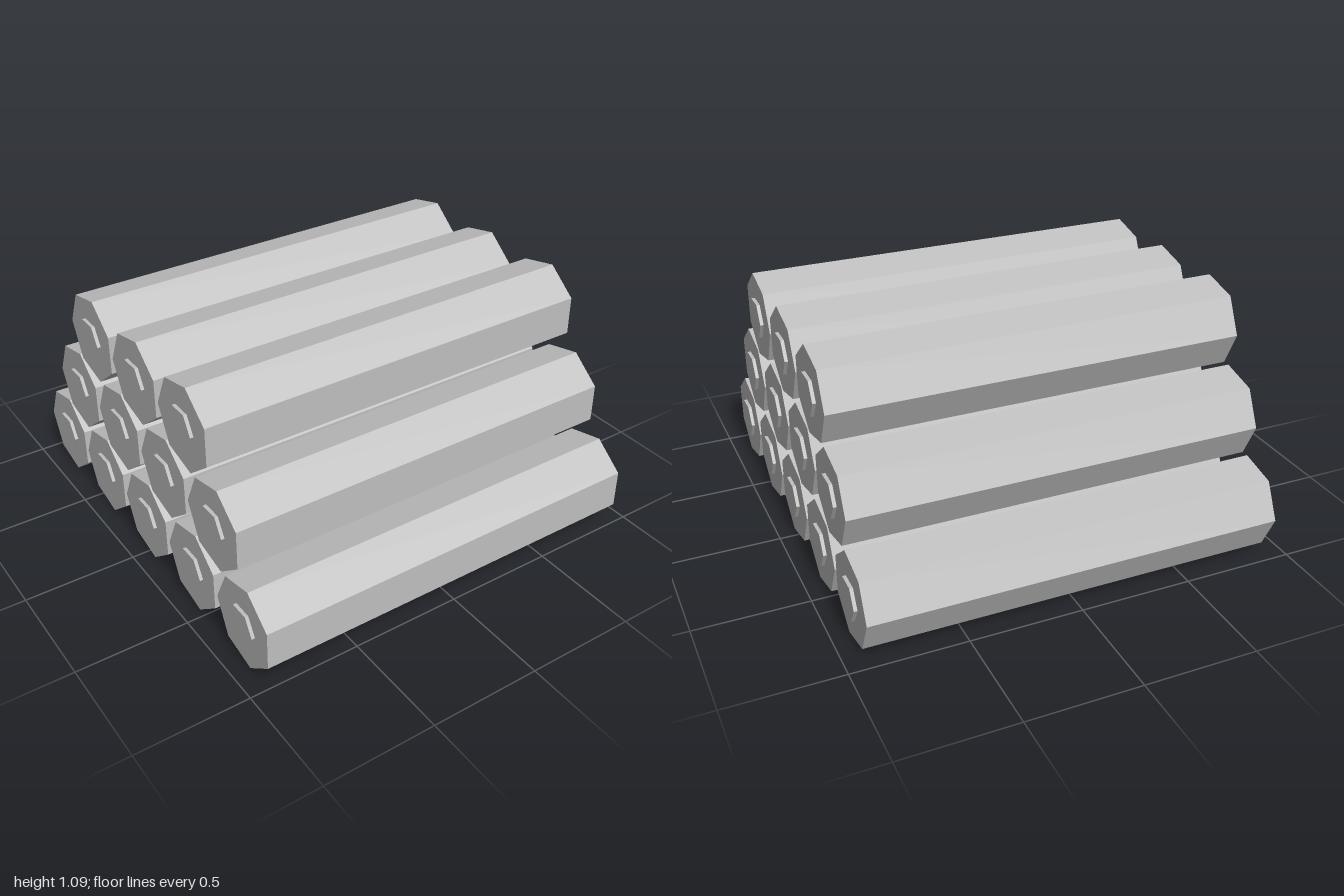
import * as THREE from 'three';

export function createModel() {
  const model = new THREE.Group();
  model.name = 'logPile';
  const grey = new THREE.MeshStandardMaterial({ color: 0xc0c0c0, flatShading: true });
  grey.name = 'pale grey';

  // Prism lying along x with one corner towards the back
  const prism = (radius, length, sides) =>
    new THREE.CylinderGeometry(radius, radius, length, sides, 1, false, Math.PI).rotateZ(-Math.PI / 2);
  const logGeometry = prism(0.2, 1.836, 7);
  const coreGeometry = prism(0.09, 0.04, 6);

  const add = (parent, geometry, name, x) => {
    const mesh = new THREE.Mesh(geometry, grey);
    mesh.name = name;
    mesh.position.x = x;
    parent.add(mesh);
  };

  // Three stacked rows of five, four and three logs
  const spacing = 0.405;
  [5, 4, 3].forEach((count, row) => {
    for (let i = 0; i < count; i++) {
      const log = new THREE.Group();
      log.name = `log${row + 1}_${i + 1}`;
      log.position.set(0, 0.195 + row * 0.35, 0.01 + (i - (count - 1) / 2) * spacing);
      add(log, logGeometry, 'trunk', 0);
      // Raised hexagonal core on each end
      add(log, coreGeometry, 'leftCore', 0.913);
      add(log, coreGeometry, 'rightCore', -0.913);
      model.add(log);
    }
  });
  return model;
}
